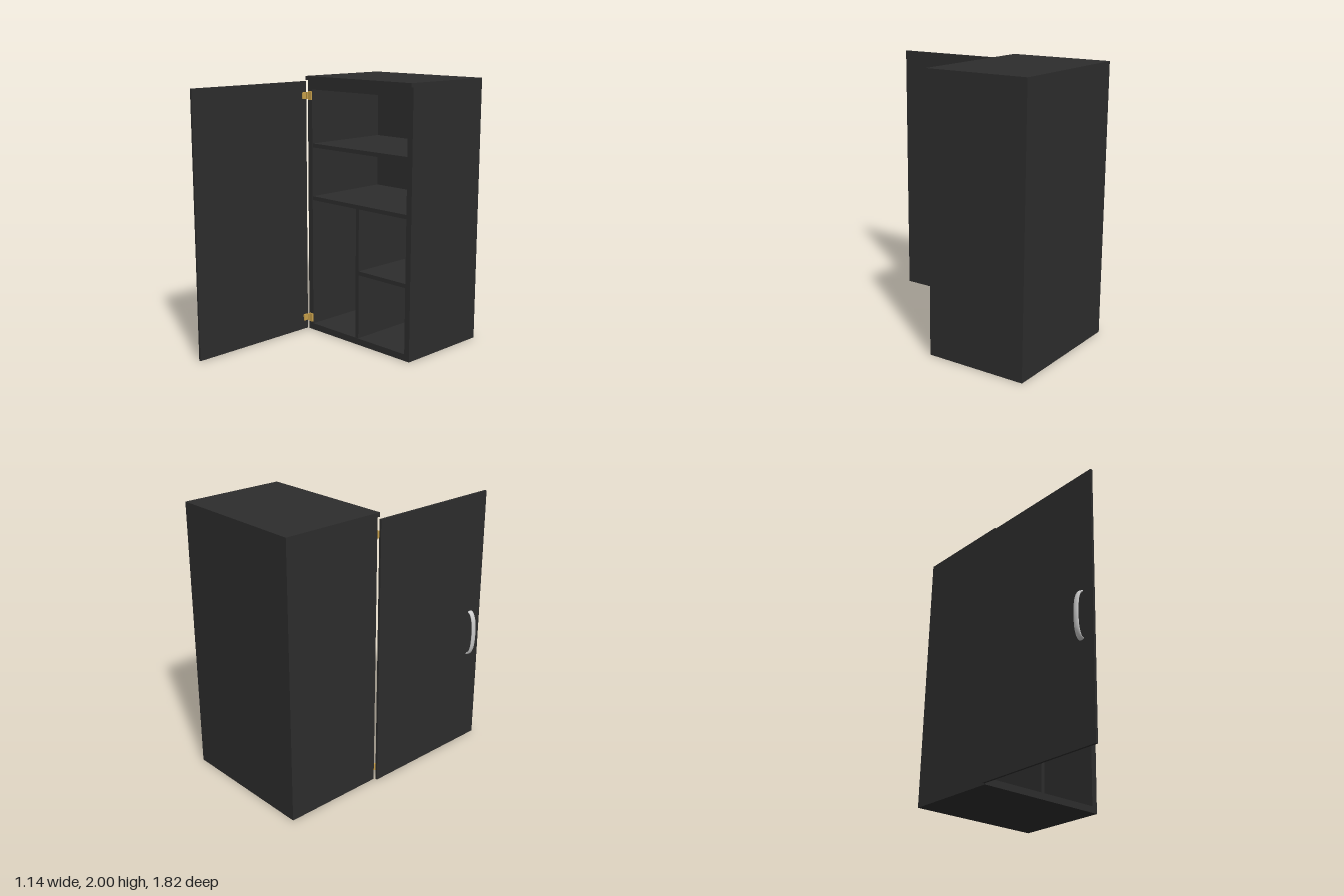
import * as THREE from 'three';

export function createModel() {
  const group = new THREE.Group();
  const mat = (name, color) => {
    const m = new THREE.MeshStandardMaterial({ color });
    m.name = name;
    return m;
  };
  const black = mat('charcoal panel', 0x2d2d2d);
  const brass = mat('brass', 0xc8a04a);
  const steel = mat('brushed steel', 0xcccccc);

  // Box given by its minimum and maximum corners
  const box = (name, material, [x0, y0, z0], [x1, y1, z1], parent = group) => {
    const mesh = new THREE.Mesh(new THREE.BoxGeometry(x1 - x0, y1 - y0, z1 - z0), material);
    mesh.position.set((x0 + x1) / 2, (y0 + y1) / 2, (z0 + z1) / 2);
    mesh.name = name;
    parent.add(mesh);
    return mesh;
  };

  // Cabinet shell
  const L = -0.49, R = 0.566, B = -0.91, F = -0.151;
  const il = -0.444, ir = 0.52, ib = B + 0.03;
  box('rightSide', black, [L, 0, B], [il, 1.97, F]);
  box('leftSide', black, [ir, 0, B], [R, 1.97, F]);
  box('backPanel', black, [il, 0, B], [ir, 1.97, ib]);
  box('bottomPanel', black, [il, 0, ib], [ir, 0.05, F]);
  box('upperRail', black, [il, 1.9, ib], [ir, 1.97, F]);
  box('topPanel', black, [L, 1.97, B], [R, 2, -0.13]);

  // Shelves and divider
  const sf = F - 0.005;
  box('upperShelf', black, [il, 1.46, ib], [ir, 1.49, sf]);
  box('middleShelf', black, [il, 1.05, ib], [ir, 1.08, sf]);
  box('divider', black, [0.02, 0.05, ib], [0.05, 1.05, sf]);
  box('smallShelf', black, [0.05, 0.547, ib], [ir, 0.577, sf]);

  // Open door
  box('door', black, [-0.517, 0.003, -0.143], [-0.5, 1.96, 0.91]);

  // Hinges: a leaf on the cabinet front, a leaf on the door and a barrel
  for (const y of [0.098, 1.853]) {
    const hinge = new THREE.Group();
    hinge.name = 'hinge';
    box('cabinetLeaf', brass, [-0.478, y - 0.033, F], [-0.445, y + 0.033, F + 0.012], hinge);
    box('doorLeaf', brass, [-0.5, y - 0.025, -0.138], [-0.49, y + 0.025, -0.098], hinge);
    const barrel = new THREE.Mesh(new THREE.CylinderGeometry(0.01, 0.01, 0.05, 16), brass);
    barrel.name = 'barrel';
    barrel.position.set(-0.485, y, -0.142);
    hinge.add(barrel);
    group.add(hinge);
  }

  // Bowed handle: a tube flattened to a wide oval section
  const path = new THREE.CatmullRomCurve3([
    [-0.513, 1.058], [-0.532, 1.048], [-0.552, 1.005], [-0.562, 0.93], [-0.562, 0.845],
    [-0.552, 0.77], [-0.532, 0.727], [-0.513, 0.717],
  ].map(([x, y]) => new THREE.Vector3(x, y, 0)));
  const tube = new THREE.TubeGeometry(path, 40, 0.008, 14, false);
  tube.scale(1, 1, 2.7);
  const handle = new THREE.Mesh(tube, steel);
  handle.name = 'handle';
  handle.position.z = 0.802;
  group.add(handle);

  return group;
}
